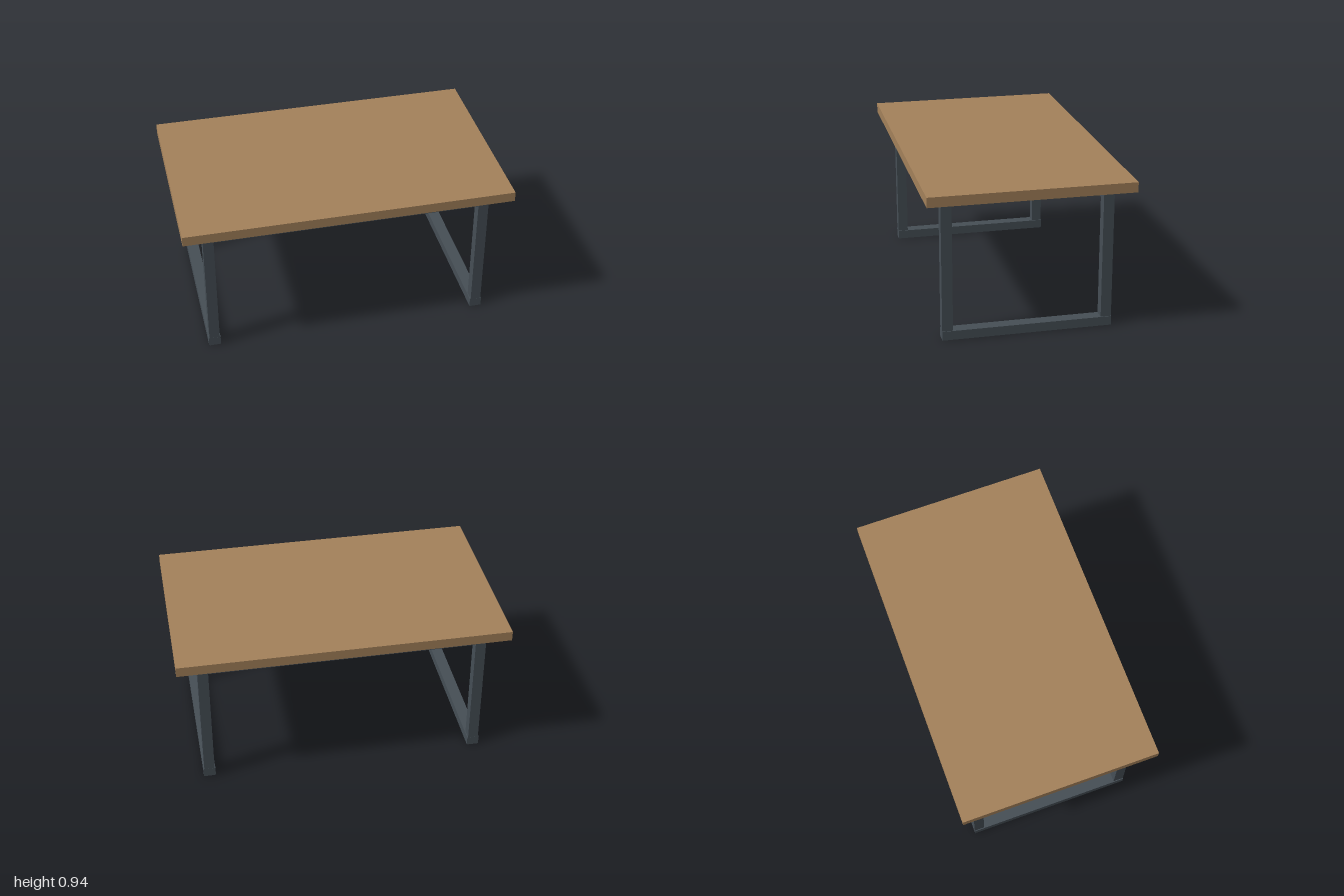
import * as THREE from 'three';

export function createModel() {
  const model = new THREE.Group();
  model.name = 'table';
  const wood = new THREE.MeshStandardMaterial({ color: 0xa5825b });
  const metal = new THREE.MeshStandardMaterial({ color: 0x464f56 });

  // Box given by its size, centre x and z, and the height of its underside
  function box(name, material, [w, h, d], x, bottom, z, parent = model) {
    const mesh = new THREE.Mesh(new THREE.BoxGeometry(w, h, d), material);
    mesh.name = name;
    mesh.position.set(x, bottom + h / 2, z);
    parent.add(mesh);
  }

  const underside = 0.874;
  const legX = 0.842;
  const legZ = 0.48;

  box('tabletop', wood, [2, 0.061, 1.222], 0, underside, 0);

  // Rectangular leg frame at each end, with rails slightly wider than the legs
  for (const side of [1, -1]) {
    const frame = new THREE.Group();
    frame.name = side > 0 ? 'leftLegFrame' : 'rightLegFrame';
    frame.position.x = side * legX;
    model.add(frame);
    for (const end of [1, -1]) {
      box(end > 0 ? 'frontLeg' : 'backLeg', metal, [0.064, underside, 0.064], 0, 0, end * legZ, frame);
    }
    box('footRail', metal, [0.074, 0.056, 1.025], 0, 0.002, 0, frame);
    box('topRail', metal, [0.074, 0.028, 1.025], 0, underside - 0.0285, 0, frame);
  }

  // Long rails joining the two frames under the top
  for (const end of [1, -1]) {
    box(end > 0 ? 'frontRail' : 'backRail', metal, [2 * legX - 0.06, 0.068, 0.052], 0, 0.789, end * legZ);
  }
  return model;
}
